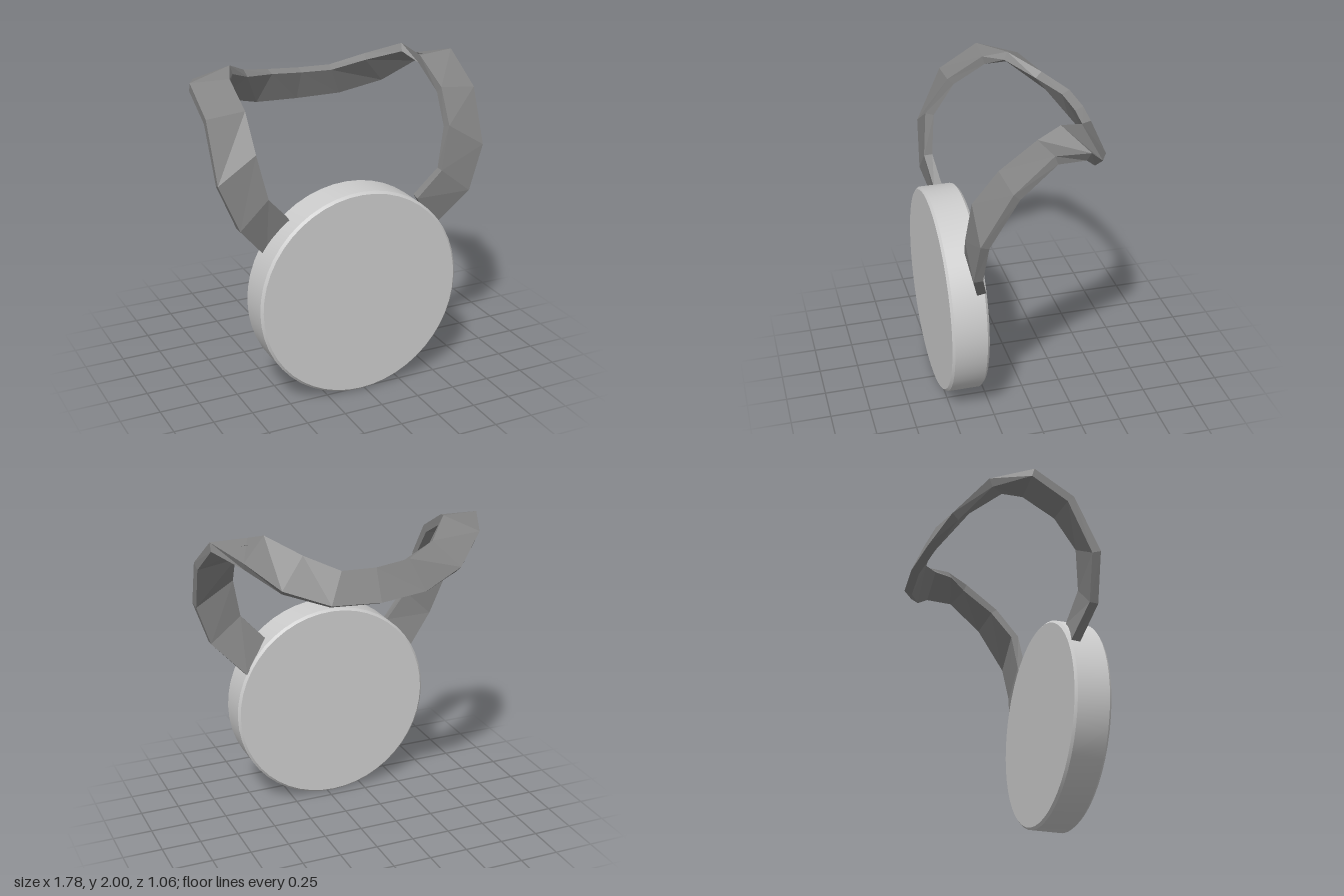
import * as THREE from 'three';
import { toCreasedNormals } from 'three/addons/utils/BufferGeometryUtils.js';

// Outer face of the strap, one station per row: outer/lower edge, then inner/upper edge
const STATIONS = [
  [-0.58, 0.94, 0.36, -0.44, 1.16, 0.40],
  [-0.77, 1.16, 0.43, -0.59, 1.33, 0.43],
  [-0.89, 1.45, 0.41, -0.65, 1.60, 0.40],
  [-0.89, 1.80, 0.25, -0.65, 1.82, 0.25],
  [-0.89, 1.95, 0.00, -0.65, 1.95, 0.02],
  [-0.78, 1.90, -0.25, -0.59, 1.99, -0.13],
  [-0.57, 1.75, -0.42, -0.43, 1.90, -0.31],
  [-0.30, 1.66, -0.50, -0.22, 1.85, -0.43],
  [0.00, 1.64, -0.53, 0.00, 1.83, -0.45],
  [0.30, 1.65, -0.50, 0.21, 1.83, -0.43],
  [0.56, 1.74, -0.39, 0.40, 1.91, -0.31],
  [0.74, 1.89, -0.26, 0.57, 2.00, -0.13],
  [0.86, 1.96, -0.01, 0.62, 1.95, 0.02],
  [0.89, 1.77, 0.23, 0.645, 1.80, 0.25],
  [0.86, 1.45, 0.41, 0.62, 1.60, 0.40],
  [0.76, 1.17, 0.43, 0.56, 1.33, 0.43],
  [0.55, 0.94, 0.36, 0.41, 1.16, 0.40],
];

function strapGeometry(thickness) {
  const edges = STATIONS.map((s) => [new THREE.Vector3(...s.slice(0, 3)), new THREE.Vector3(...s.slice(3))]);
  const middles = edges.map(([a, b]) => a.clone().add(b).multiplyScalar(0.5));
  const last = edges.length - 1;
  const positions = [];
  const index = [];

  edges.forEach(([lower, upper], i) => {
    // Step inward from the outer face to give the band its thickness
    const tangent = middles[Math.min(i + 1, last)].clone().sub(middles[Math.max(i - 1, 0)]);
    const inward = upper.clone().sub(lower).cross(tangent).setLength(-thickness);
    for (const p of [lower, upper, upper.clone().add(inward), lower.clone().add(inward)]) positions.push(p.x, p.y, p.z);
    if (i === last) return;
    for (let j = 0; j < 4; j++) {
      const a = i * 4 + j;
      const b = i * 4 + ((j + 1) % 4);
      index.push(a, b, b + 4, a, b + 4, a + 4);
    }
  });

  // End caps
  const e = last * 4;
  index.push(0, 2, 1, 0, 3, 2, e, e + 1, e + 2, e, e + 2, e + 3);

  const geometry = new THREE.BufferGeometry();
  geometry.setAttribute('position', new THREE.Float32BufferAttribute(positions, 3));
  geometry.setIndex(index);
  geometry.computeVertexNormals();
  return geometry;
}

// Thick round disc with a fine chamfer on both rims
function discGeometry(radius, depth, chamfer) {
  const h = depth / 2;
  const profile = [
    [0, -h], [radius - chamfer, -h], [radius, -h + chamfer],
    [radius, h - chamfer], [radius - chamfer, h], [0, h],
  ].map(([x, y]) => new THREE.Vector2(x, y));
  const geometry = new THREE.LatheGeometry(profile, 48);
  geometry.rotateX(Math.PI / 2);
  return toCreasedNormals(geometry, Math.PI / 6);
}

export function createModel() {
  const model = new THREE.Group();
  model.name = 'pendant';

  const disc = new THREE.Mesh(
    discGeometry(0.657, 0.23, 0.015),
    new THREE.MeshStandardMaterial({ color: 0xcccccc }),
  );
  disc.name = 'disc';
  disc.position.set(-0.035, 0.66, 0.415);
  model.add(disc);

  const strap = new THREE.Mesh(
    strapGeometry(0.055),
    new THREE.MeshStandardMaterial({ color: 0x858585, flatShading: true }),
  );
  strap.name = 'neckStrap';
  model.add(strap);

  return model;
}
